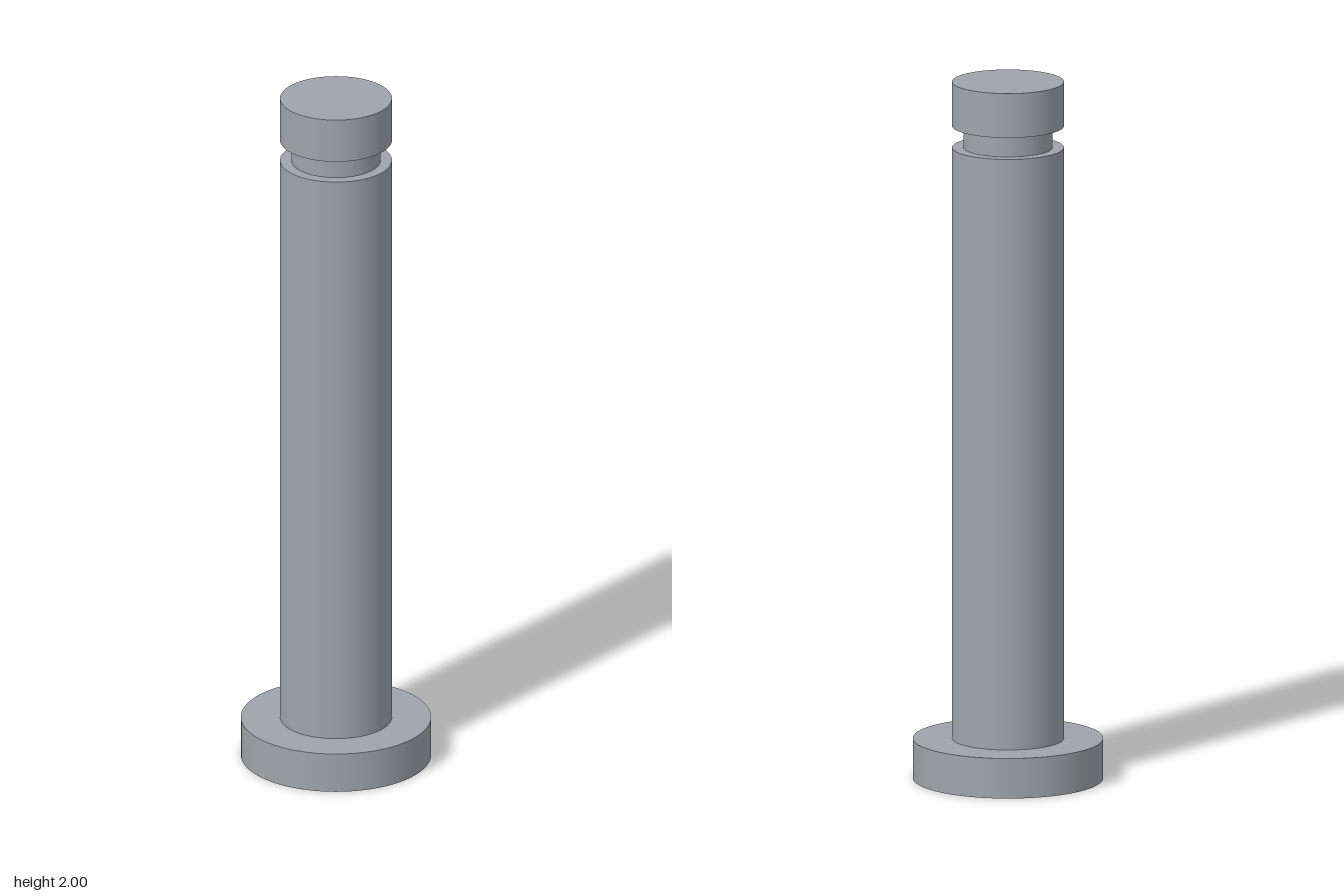
import * as THREE from 'three';

export function createModel() {
  const group = new THREE.Group();
  group.name = 'clevisPin';

  const steel = new THREE.MeshStandardMaterial({ color: 0xa0a5ab });
  steel.name = 'steel grey';

  // Round section of the pin between two heights
  function addSection(name, radius, bottom, top) {
    const geometry = new THREE.CylinderGeometry(radius, radius, top - bottom, 96);
    const mesh = new THREE.Mesh(geometry, steel);
    mesh.name = name;
    mesh.position.y = (bottom + top) / 2;
    group.add(mesh);
  }

  addSection('headFlange', 0.267, 0, 0.115);
  addSection('shaft', 0.157, 0.115, 1.811);
  addSection('retainingGroove', 0.125, 1.811, 1.873);
  addSection('endCollar', 0.157, 1.873, 2);

  return group;
}
